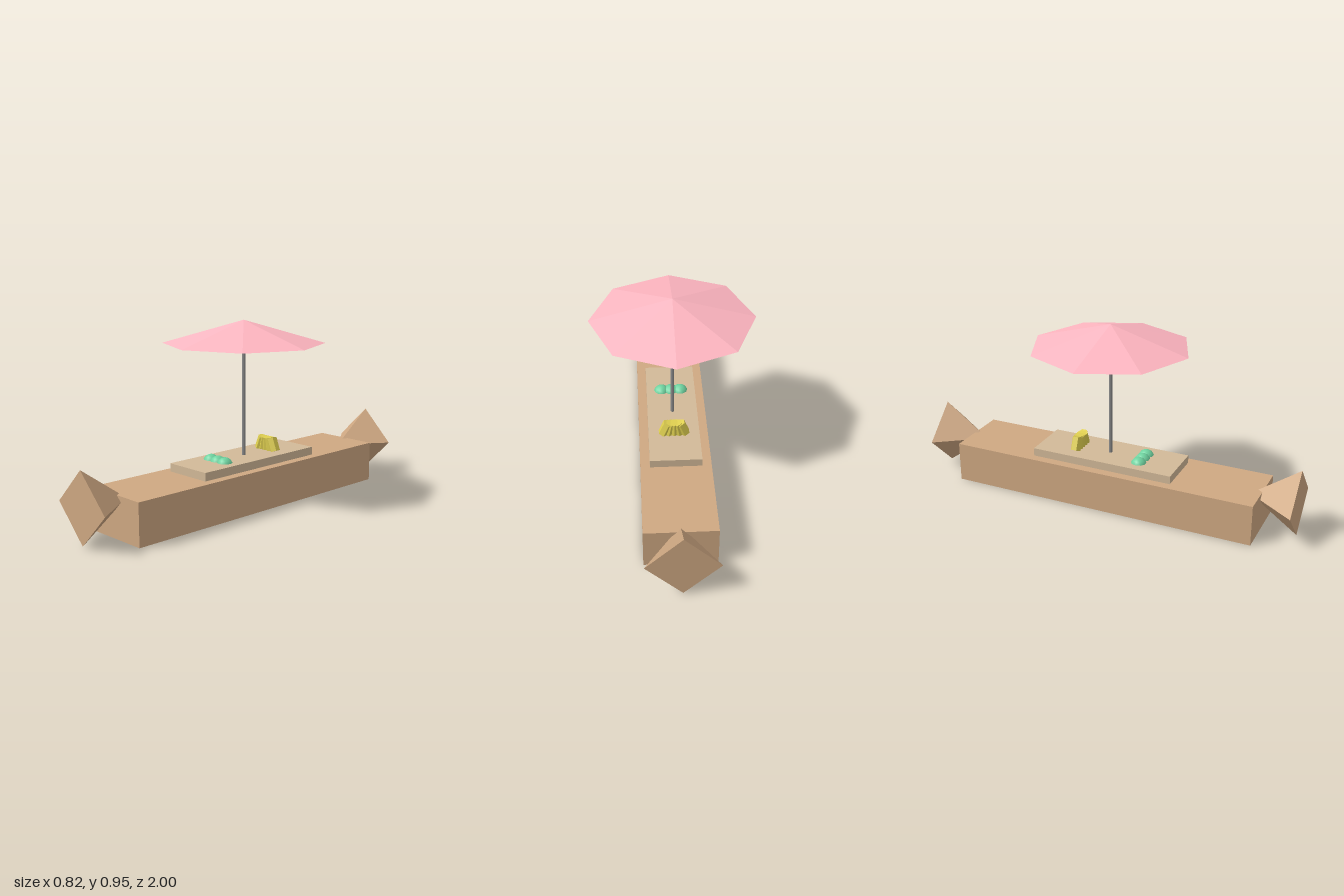
import * as THREE from 'three';

const material = (color, flatShading = true) => {
  const m = new THREE.MeshStandardMaterial({ flatShading });
  m.color.set(color);
  return m;
};

export function createModel() {
  const model = new THREE.Group();
  model.name = 'marketBoat';
  const wood = material(0xcfa882);
  const plank = material(0xd2b998);
  const metal = material(0x8c8c8c, false);
  const pink = material(0xffb6c1);
  const green = material(0x6fd3a0, false);
  const yellow = material(0xe0d050);

  const add = (name, geometry, mat, x, y, z, parent = model) => {
    const mesh = new THREE.Mesh(geometry, mat);
    mesh.name = name;
    mesh.position.set(x, y, z);
    parent.add(mesh);
    return mesh;
  };

  // Hull and raised deck
  add('hull', new THREE.BoxGeometry(0.354, 0.212, 1.64), wood, 0, 0.106, 0);
  add('deck', new THREE.BoxGeometry(0.26, 0.042, 0.764), plank, 0, 0.233, 0);

  // Pyramid ends, points buried in the hull
  for (const side of [1, -1]) {
    const end = add(side > 0 ? 'bow' : 'stern',
      new THREE.ConeGeometry(0.176, 0.246, 4), wood, 0, 0.183, side * 0.877);
    end.rotation.x = -side * Math.PI / 2;
  }

  // Parasol
  add('parasolPole', new THREE.CylinderGeometry(0.0095, 0.0095, 0.6, 8), metal, 0, 0.54, 0);
  add('parasolCanopy', new THREE.ConeGeometry(0.41, 0.116, 8), pink, 0, 0.891, 0);

  // Row of round green fruit
  const melons = new THREE.Group();
  melons.name = 'greenFruit';
  for (let i = -1; i <= 1; i++) {
    add('fruit', new THREE.SphereGeometry(0.043, 10, 8), green, i * 0.05, 0.238, 0.18, melons);
  }
  model.add(melons);

  // Fanned bunch of bananas
  const bunch = new THREE.Group();
  bunch.name = 'bananaBunch';
  for (let i = -2; i <= 2; i++) {
    const banana = add('banana', new THREE.CylinderGeometry(0.028, 0.028, 0.07, 6), yellow,
      i * 0.021, 0.285, -0.175, bunch);
    banana.rotation.z = i * 0.19;
  }
  model.add(bunch);

  return model;
}
